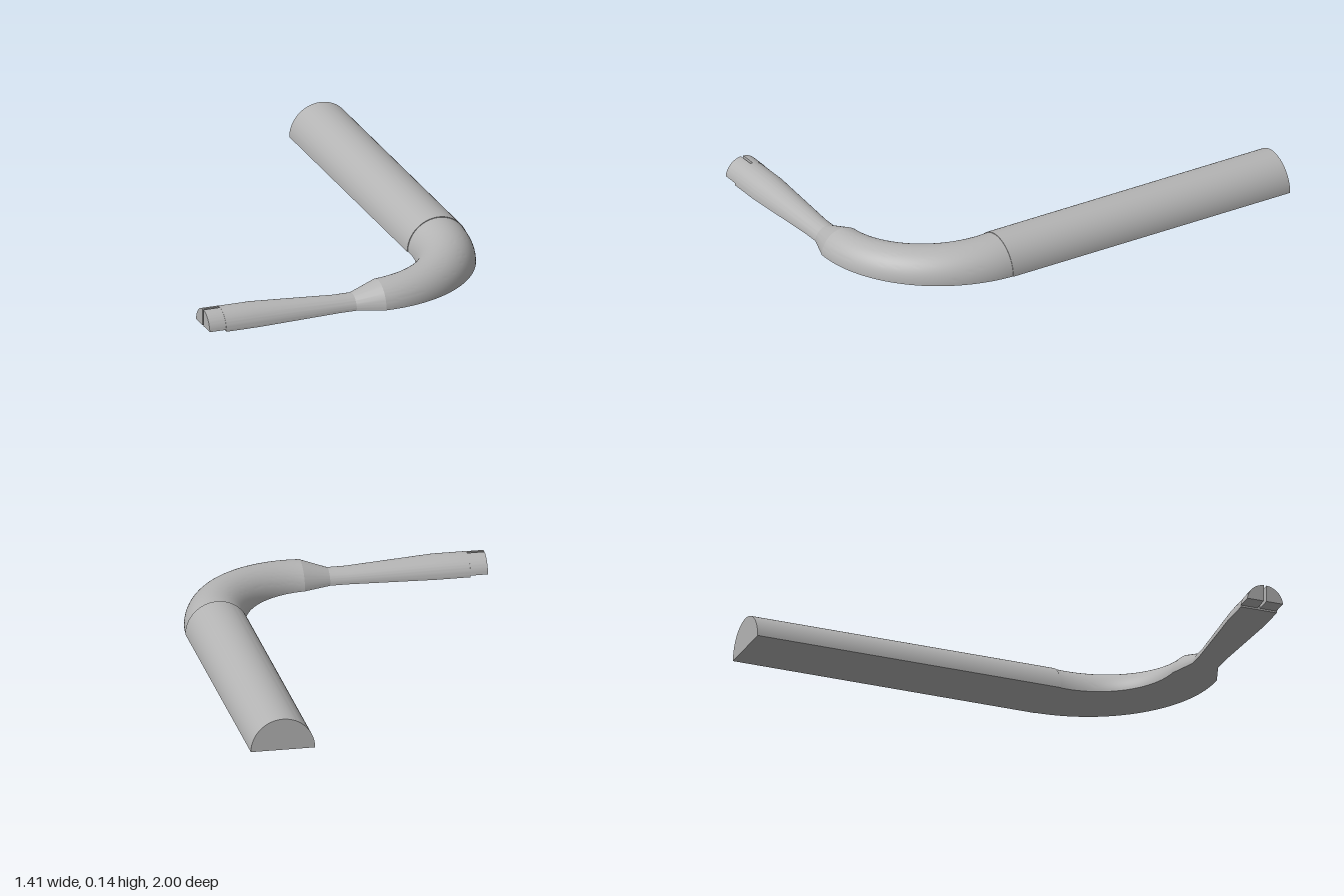
import * as THREE from 'three';
import { toCreasedNormals } from 'three/addons/utils/BufferGeometryUtils.js';

const ARC = 40;

// Solid half-round bar swept through stations { x, z, tx, tz, r }, flat side on y = 0
function halfRoundSweep(stations) {
  const pos = [], idx = [], n = ARC + 1;
  for (const { x, z, tx, tz, r } of stations) {
    for (let j = 0; j < n; j++) {
      const a = (Math.PI * j) / ARC, c = r * Math.cos(a);
      pos.push(x - tz * c, r * Math.sin(a), z + tx * c);
    }
  }
  for (let i = 0; i < stations.length - 1; i++) {
    for (let j = 0; j < n; j++) {
      const k = (j + 1) % n; // the last step closes the flat underside
      const a = i * n + j, b = a + n, c = i * n + k, d = c + n;
      idx.push(a, b, c, c, b, d);
    }
  }
  const end = (stations.length - 1) * n;
  for (let j = 1; j < ARC; j++) {
    idx.push(0, j, j + 1, end, end + j + 1, end + j);
  }
  const geo = new THREE.BufferGeometry();
  geo.setAttribute('position', new THREE.Float32BufferAttribute(pos, 3));
  geo.setIndex(idx);
  return toCreasedNormals(geo, 0.3);
}

export function createModel() {
  const group = new THREE.Group();
  const grey = new THREE.MeshStandardMaterial({ color: 0xb4b4b4 });
  grey.name = 'grey';
  const add = (name, geo) => {
    const mesh = new THREE.Mesh(geo, grey);
    mesh.name = name;
    group.add(mesh);
  };

  const stemZ = 0.897;

  // Long straight half-round bar
  const bar = [-1, 0.407].map((z) => ({ x: 0.564, z, tx: 0, tz: 1, r: 0.141 }));
  add('straightBar', halfRoundSweep(bar));

  // Quarter bend tapering towards the stem
  const bend = [];
  const rx = 0.464, rz = stemZ - 0.407;
  for (let i = 0; i <= 40; i++) {
    const a = (Math.PI / 2) * (i / 40);
    const tx = -rx * Math.sin(a), tz = rz * Math.cos(a), len = Math.hypot(tx, tz);
    bend.push({
      x: 0.1 + rx * Math.cos(a), z: 0.407 + rz * Math.sin(a),
      tx: tx / len, tz: tz / len, r: 0.138 - 0.036 * (i / 40),
    });
  }
  add('bend', halfRoundSweep(bend));

  // Stem with a narrow neck, flaring to the tip
  const stem = [[0.1, 0.102], [-0.02, 0.059], [-0.1, 0.059], [-0.48, 0.083], [-0.63, 0.083]]
    .map(([x, r]) => ({ x, z: stemZ, tx: -1, tz: 0, r }));
  add('stem', halfRoundSweep(stem));

  // Slotted tip: two prongs, relieved underneath
  const r = 0.083, gap = 0.006, lift = 0.008;
  for (const side of [1, -1]) {
    const shape = new THREE.Shape();
    const a0 = Math.asin(lift / r), a1 = Math.acos(gap / r);
    shape.moveTo(side * gap, lift);
    for (let i = 0; i <= 20; i++) {
      const a = a0 + (a1 - a0) * (i / 20);
      shape.lineTo(side * r * Math.cos(a), r * Math.sin(a));
    }
    shape.closePath();
    const geo = new THREE.ExtrudeGeometry(shape, { depth: 0.076, bevelEnabled: false });
    geo.rotateY(-Math.PI / 2);
    geo.translate(-0.63, 0, stemZ - 0.002);
    add(side > 0 ? 'frontProng' : 'backProng', toCreasedNormals(geo, 0.3));
  }
  return group;
}
